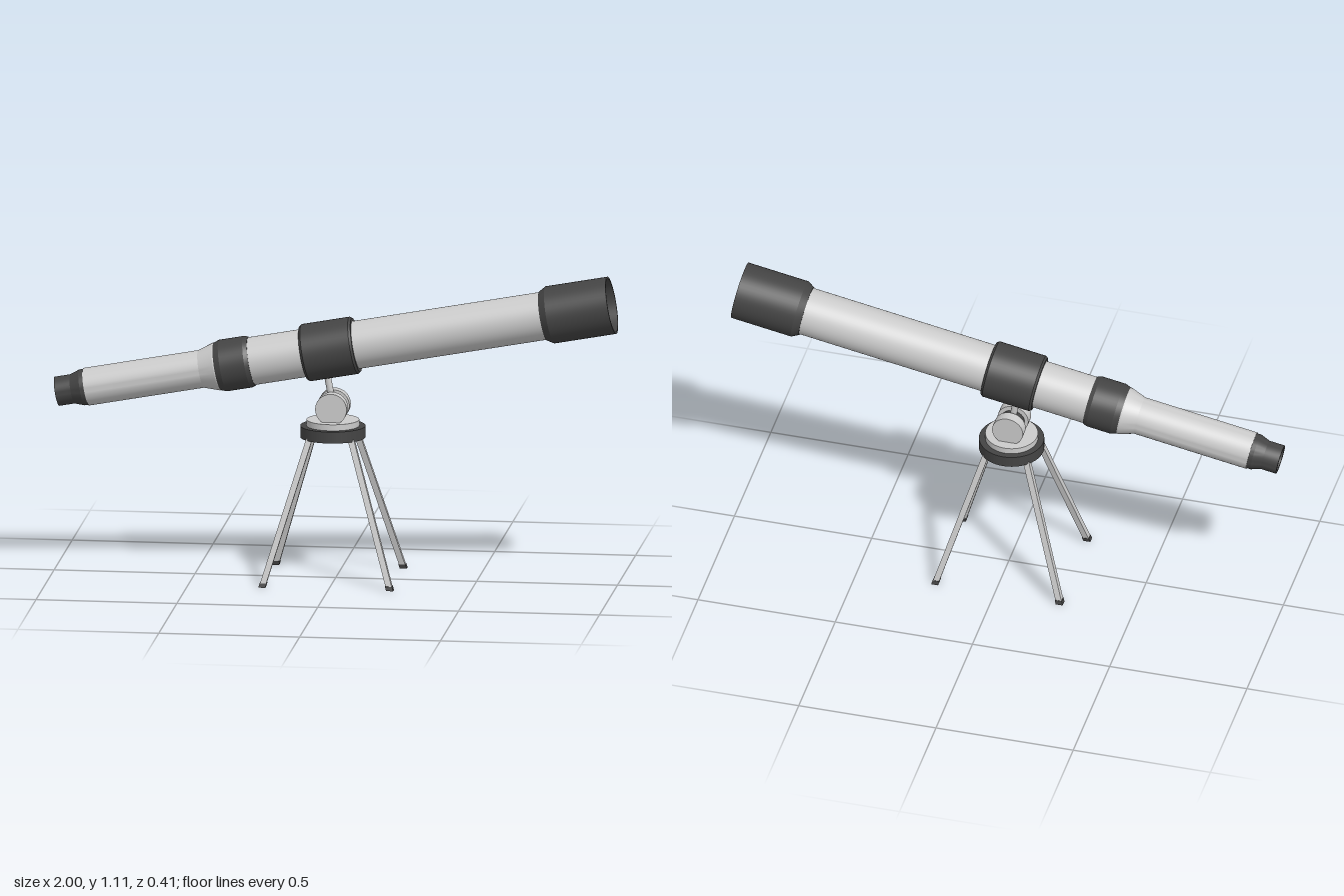
import * as THREE from 'three';
import { toCreasedNormals } from 'three/addons/utils/BufferGeometryUtils.js';

const light = new THREE.MeshStandardMaterial({ color: 0xcccccc });
const dark = new THREE.MeshStandardMaterial({ color: 0x444444 });

function add(parent, name, geometry, material, x = 0, y = 0, z = 0) {
  const mesh = new THREE.Mesh(geometry, material);
  mesh.name = name;
  mesh.position.set(x, y, z);
  parent.add(mesh);
  return mesh;
}

// Turned part: [radius, position along the axis] pairs, sharp at the corners
function turned(points) {
  const profile = points.map(([r, s]) => new THREE.Vector2(r, s));
  return toCreasedNormals(new THREE.LatheGeometry(profile, 48), 0.3);
}

// Upright square post whose top and bottom stay level while it leans from a to b
function leaningPost(a, b, width) {
  const h = b.y - a.y;
  const geometry = new THREE.BoxGeometry(width, h, width);
  const p = geometry.attributes.position;
  for (let i = 0; i < p.count; i++) {
    const t = p.getY(i) / h + 0.5;
    p.setXYZ(i, p.getX(i) + a.x + (b.x - a.x) * t, a.y + h * t, p.getZ(i) + a.z + (b.z - a.z) * t);
  }
  geometry.computeVertexNormals();
  return geometry;
}

export function createModel() {
  const model = new THREE.Group();
  model.name = 'telescope';

  // Optical tube, built along y and then tilted
  const tilt = THREE.MathUtils.degToRad(10.47);
  const tube = new THREE.Group();
  tube.name = 'opticalTube';
  tube.position.set(-0.02, 0.823, 0);
  tube.rotation.z = tilt - Math.PI / 2;
  model.add(tube);

  add(tube, 'barrel', turned([
    [0, -0.88], [0.067, -0.88], [0.067, -0.465], [0.085, -0.41], [0.085, 0.8], [0, 0.8],
  ]), light);
  add(tube, 'eyepiece', turned([
    [0.04, -0.965], [0.04, -0.986], [0.052, -0.986], [0.052, -0.93], [0.064, -0.895], [0.064, -0.877], [0, -0.877],
  ]), dark);
  add(tube, 'eyepieceLens', turned([[0, -0.975], [0.042, -0.975], [0.042, -0.96], [0, -0.96]]), light);
  add(tube, 'focusRing', turned([
    [0.07, -0.415], [0.082, -0.415], [0.092, -0.385], [0.092, -0.297], [0.087, -0.282], [0.07, -0.282],
  ]), dark);
  add(tube, 'mountCollar', turned([
    [0.07, -0.094], [0.096, -0.094], [0.102, -0.086], [0.102, 0.086], [0.096, 0.094], [0.07, 0.094],
  ]), dark);
  add(tube, 'lensHood', turned([
    [0.07, 0.77], [0.088, 0.77], [0.102, 0.795], [0.102, 1.017], [0.095, 1.017], [0.095, 0.9],
  ]), dark);
  add(tube, 'frontLens', turned([[0, 0.93], [0.096, 0.93], [0.096, 0.947], [0, 0.947]]), light);

  // Tripod head and hinge
  const cx = -0.01;
  add(model, 'headPlate', new THREE.CylinderGeometry(0.115, 0.115, 0.041, 48), dark, cx, 0.5275);
  add(model, 'turntable', new THREE.CylinderGeometry(0.093, 0.093, 0.024, 48), light, cx, 0.558);
  for (const side of [1, -1]) {
    const cheek = add(model, 'hingeCheek', new THREE.CylinderGeometry(0.056, 0.056, 0.039, 40), light, cx, 0.616, side * 0.0375);
    cheek.rotation.x = Math.PI / 2;
  }
  const hub = add(model, 'hingeHub', new THREE.CylinderGeometry(0.043, 0.043, 0.036, 32), dark, cx, 0.612);
  hub.rotation.x = Math.PI / 2;
  const post = add(model, 'supportRod', new THREE.CylinderGeometry(0.012, 0.012, 0.13, 20), light, cx - 0.012, 0.685);
  post.rotation.z = tilt;

  // Four splayed legs with dark feet
  for (const sx of [1, -1]) {
    for (const sz of [1, -1]) {
      const at = (y) => new THREE.Vector3(
        cx + sx * THREE.MathUtils.mapLinear(y, 0, 0.51, 0.227, 0.075), y,
        sz * THREE.MathUtils.mapLinear(y, 0, 0.51, 0.19, 0.072));
      add(model, 'leg', leaningPost(at(0.012), at(0.515), 0.022), light);
      add(model, 'foot', leaningPost(at(0), at(0.015), 0.025), dark);
    }
  }
  return model;
}
